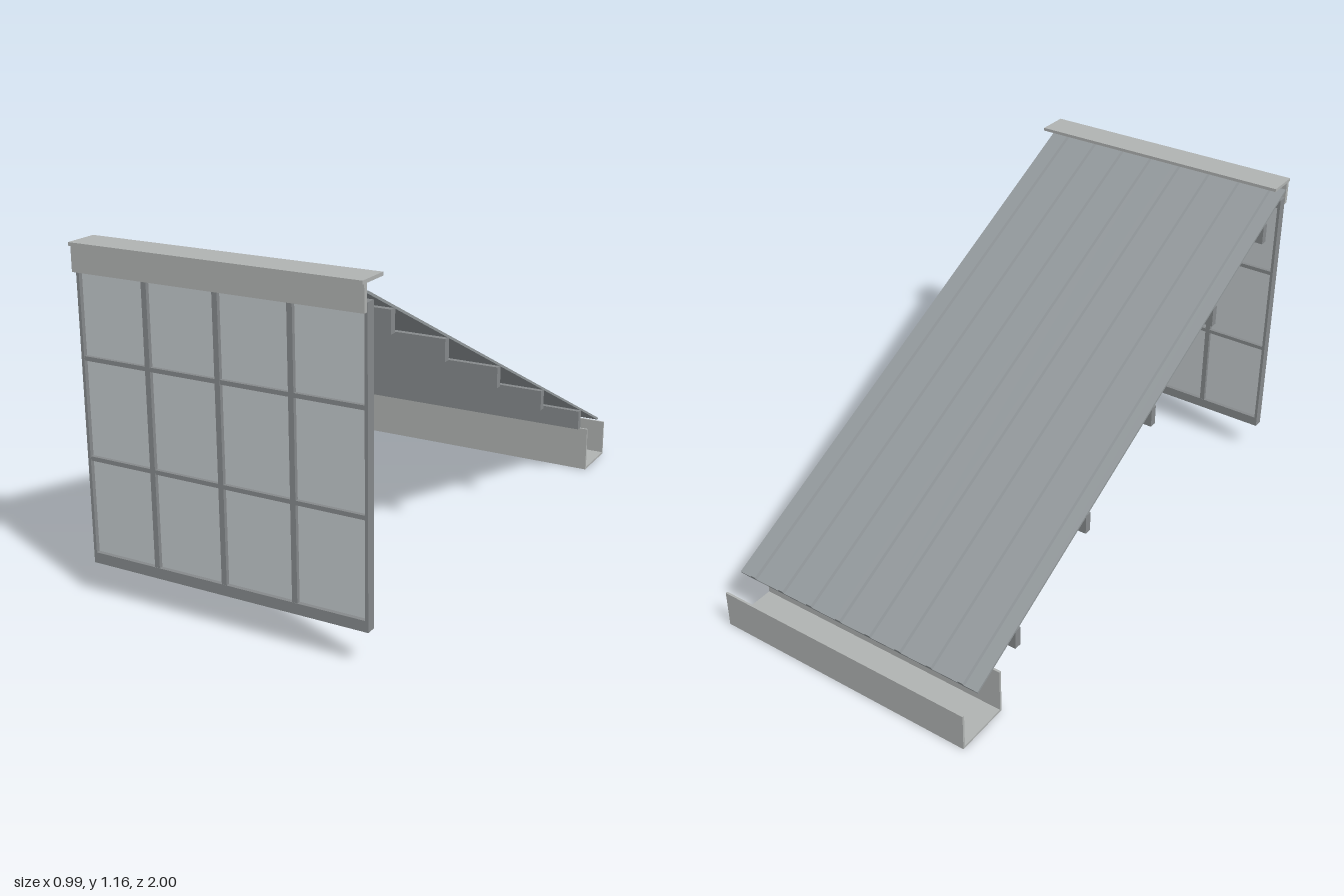
import * as THREE from 'three';

const W = 0.988; // overall width

export function createModel() {
  const group = new THREE.Group();
  const mat = (name, color) => {
    const m = new THREE.MeshStandardMaterial({ color });
    m.name = name;
    return m;
  };
  const flashing = mat('light flashing', 0xb0b3b2);
  const steel = mat('dark frame grey', 0x868a8c);
  const sheet = mat('roof sheet grey', 0x93999c);
  const glass = mat('window glass', 0xc2c8cb);

  // Box given by its min and max on each axis
  const box = (name, material, [x0, x1], [y0, y1], [z0, z1]) => {
    const mesh = new THREE.Mesh(new THREE.BoxGeometry(x1 - x0, y1 - y0, z1 - z0), material);
    mesh.position.set((x0 + x1) / 2, (y0 + y1) / 2, (z0 + z1) / 2);
    mesh.name = name;
    group.add(mesh);
  };
  const full = [-W / 2, W / 2];

  // Window wall: outer frame, bars and glass
  const depth = [0.938, 0.973];
  box('bottomRail', steel, full, [0.117, 0.153], depth);
  box('topRail', steel, full, [1.06, 1.092], depth);
  for (const s of [-1, 1]) {
    const a = s * W / 2, b = s * (W / 2 - 0.01);
    box('sideFrame', steel, [Math.min(a, b), Math.max(a, b)], [0.153, 1.06], depth);
  }
  for (const x of [-0.248, 0, 0.248]) {
    box('mullion', steel, [x - 0.009, x + 0.009], [0.153, 1.06], [0.939, 0.972]);
  }
  for (const y of [0.47, 0.794]) {
    box('transom', steel, [-W / 2 + 0.01, W / 2 - 0.01], [y - 0.007, y + 0.007], [0.94, 0.971]);
  }
  box('glassPane', glass, [-W / 2 + 0.01, W / 2 - 0.01], [0.153, 1.06], [0.952, 0.959]);

  // Ridge flashing: flat cap with a front drop
  box('ridgeCap', flashing, full, [1.146, 1.157], [0.885, 1]);
  box('ridgeDrop', flashing, full, [1.065, 1.146], [0.975, 0.991]);

  // Sloping ribbed roof sheet, extruded along the fall
  const profile = new THREE.Shape();
  profile.moveTo(-W / 2, 0);
  profile.lineTo(W / 2, 0);
  profile.lineTo(W / 2, 0.008);
  for (let i = 7; i >= 0; i--) {
    const x = (i - 3.5) * 0.1235;
    profile.lineTo(x + 0.013, 0.008);
    profile.lineTo(x + 0.01, 0.02);
    profile.lineTo(x - 0.01, 0.02);
    profile.lineTo(x - 0.013, 0.008);
  }
  profile.lineTo(-W / 2, 0.008);
  const roof = new THREE.Mesh(
    new THREE.ExtrudeGeometry(profile, { depth: 2.117, bevelEnabled: false }), sheet);
  roof.rotation.x = -Math.atan(0.5);
  roof.position.set(0, 0.17, -0.92);
  roof.name = 'roofSheet';
  group.add(roof);

  // Purlins under the roof
  for (const z of [0.828, 0.48, 0.083, -0.313, -0.709]) {
    const top = 0.17 + (z + 0.92) / 2;
    box('purlin', steel, full, [top - 0.075, top - 0.003], [z - 0.013, z + 0.013]);
  }

  // Open-ended gutter at the eave
  box('gutterBase', flashing, full, [0, 0.008], [-1, -0.8]);
  box('gutterBackWall', flashing, full, [0.008, 0.137], [-1, -0.992]);
  box('gutterInnerWall', flashing, full, [0.008, 0.167], [-0.808, -0.8]);

  return group;
}
